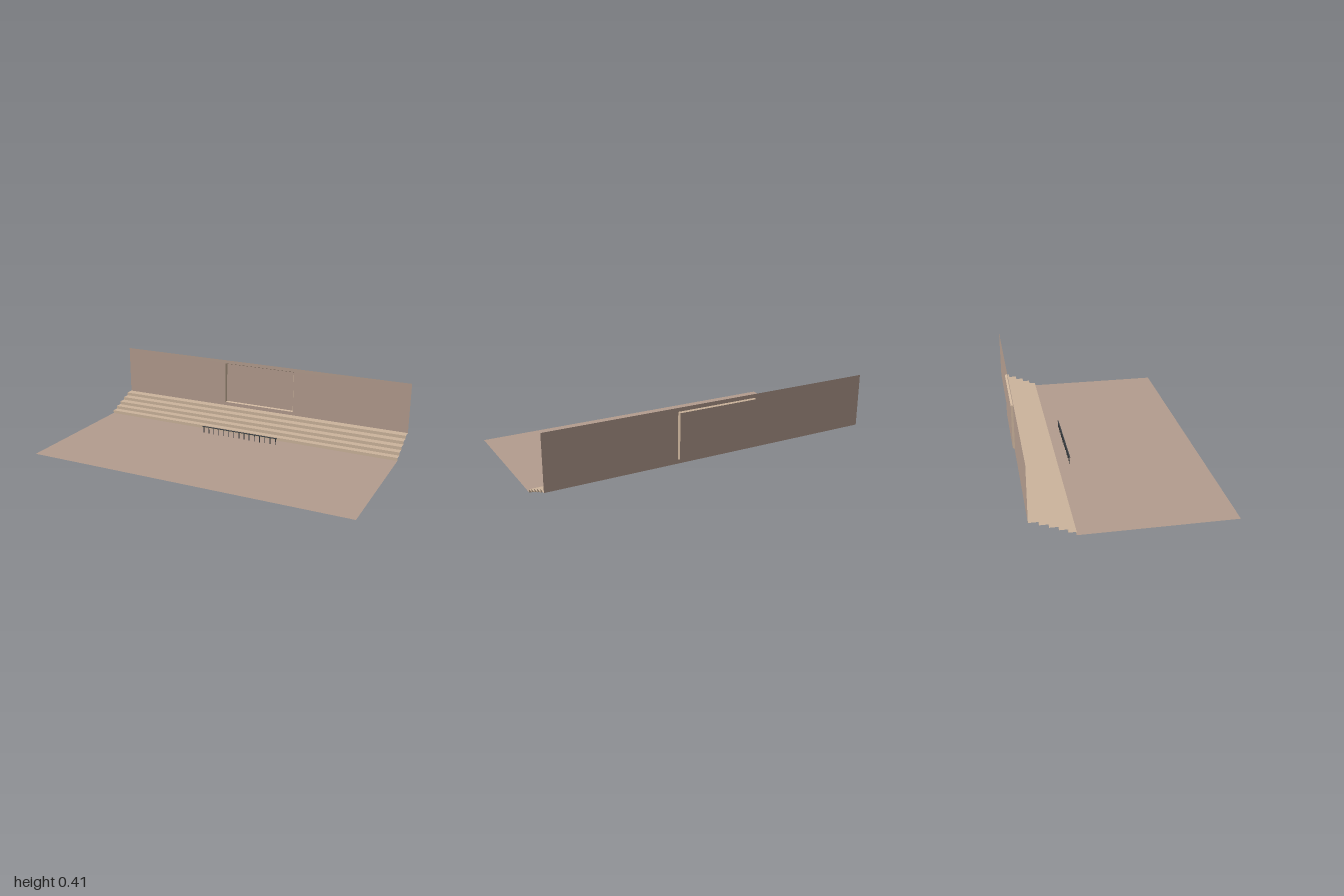
import * as THREE from 'three';

const sheet = (color) => new THREE.MeshStandardMaterial({ color, side: THREE.DoubleSide, flatShading: true });
const stone = sheet(0xb39c8e), pale = sheet(0xccb49c);
const iron = new THREE.MeshStandardMaterial({ color: 0x3e4246 });

function add(parent, name, geometry, material, x = 0, y = 0, z = 0) {
  const mesh = new THREE.Mesh(geometry, material);
  mesh.name = name;
  mesh.position.set(x, y, z);
  parent.add(mesh);
  return mesh;
}

// Joins two equal-length point lists into a strip of flat quads
function ribbon(a, b) {
  const pos = [];
  for (let i = 0; i < a.length - 1; i++) {
    pos.push(...a[i], ...b[i], ...b[i + 1], ...a[i], ...b[i + 1], ...a[i + 1]);
  }
  const g = new THREE.BufferGeometry();
  g.setAttribute('position', new THREE.Float32BufferAttribute(pos, 3));
  g.computeVertexNormals();
  return g;
}

// Closed rectangle corners, counter-clockwise seen from the front
const rect = (hw, y0, y1, z) => [[-hw, y0, z], [hw, y0, z], [hw, y1, z], [-hw, y1, z], [-hw, y0, z]];

export function createModel() {
  const group = new THREE.Group();
  const wallZ = -0.537, backZ = -0.549, stepTop = 0.097, wallTop = 0.413;

  // Floor sheet in front of the steps
  const floorDepth = 0.845;
  add(group, 'floor', new THREE.PlaneGeometry(2, floorDepth).rotateX(-Math.PI / 2), stone, 0, 0, -0.3 + floorDepth / 2);

  // Five steps, an open folded sheet: riser then tread
  const fronts = [-0.3, -0.342, -0.387, -0.435, -0.484, wallZ];
  const profile = [[0, fronts[0]]];
  for (let i = 0; i < 5; i++) {
    const y = stepTop * (i + 1) / 5;
    profile.push([y, fronts[i]], [y, fronts[i + 1]]);
  }
  add(group, 'steps', ribbon(profile.map(([y, z]) => [-1, y, z]), profile.map(([y, z]) => [1, y, z])), pale);

  // Back wall with a rectangular opening
  const wall = new THREE.Shape([[-1, stepTop], [1, stepTop], [1, wallTop], [-1, wallTop]].map(p => new THREE.Vector2(...p)));
  const outer = rect(0.244, 0.12, 0.391, wallZ), inner = rect(0.238, 0.125, 0.386, backZ);
  wall.holes.push(new THREE.Path(outer.slice(0, 4).reverse().map(([x, y]) => new THREE.Vector2(x, y))));
  add(group, 'backWall', new THREE.ShapeGeometry(wall), stone, 0, 0, wallZ);

  // Shallow recess with tapered sides, closed by a panel
  add(group, 'recessSides', ribbon(inner, outer), pale);
  add(group, 'recessPanel', new THREE.PlaneGeometry(0.476, 0.261), stone, 0, 0.2555, backZ);

  // Low railing in front of the steps
  const railing = new THREE.Group();
  railing.name = 'railing';
  railing.position.z = -0.226;
  group.add(railing);
  add(railing, 'topRail', new THREE.BoxGeometry(0.52, 0.005, 0.005), iron, 0, 0.0425, 0);
  for (let i = 0; i < 15; i++) {
    add(railing, 'post', new THREE.BoxGeometry(0.004, 0.04, 0.004), iron, (i - 7) * 0.0358, 0.02, 0);
  }
  return group;
}
